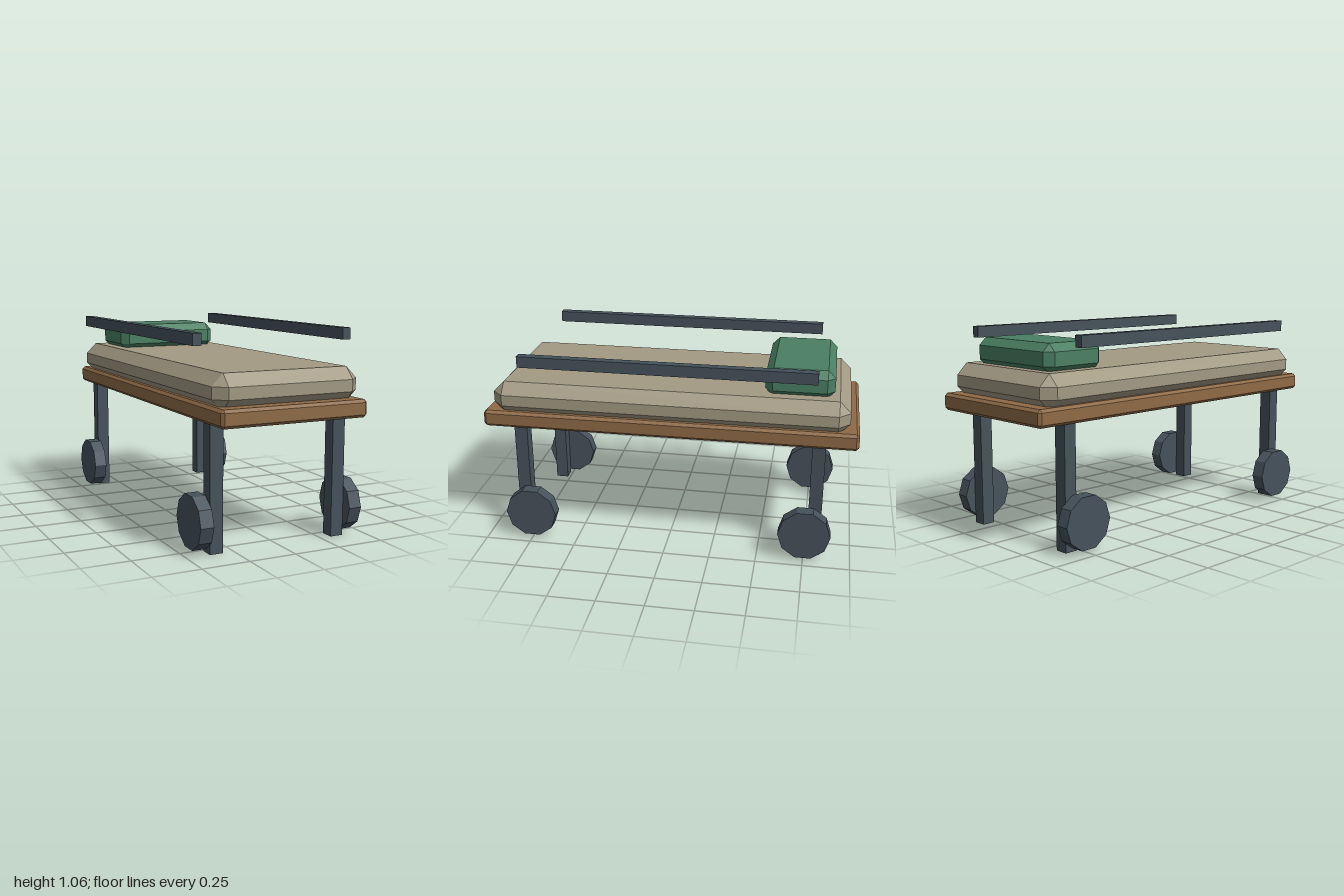
import * as THREE from 'three';
import { ConvexGeometry } from 'three/addons/geometries/ConvexGeometry.js';

const material = (color) => new THREE.MeshStandardMaterial({ color, flatShading: true });

// Box with every edge and corner cut by one flat bevel
function bevelledBox(w, h, d, b) {
  const points = [];
  for (const sx of [-1, 1]) for (const sy of [-1, 1]) for (const sz of [-1, 1]) {
    const [x, y, z] = [w / 2, h / 2, d / 2];
    points.push(
      new THREE.Vector3(sx * x, sy * (y - b), sz * (z - b)),
      new THREE.Vector3(sx * (x - b), sy * y, sz * (z - b)),
      new THREE.Vector3(sx * (x - b), sy * (y - b), sz * z));
  }
  return new ConvexGeometry(points);
}

export function createModel() {
  const group = new THREE.Group();
  const wood = material(0x8f6b47);
  const linen = material(0xa39a84);
  const green = material(0x4a7f62);
  const metal = material(0x45525b);

  const add = (name, geometry, mat, x, y, z) => {
    const mesh = new THREE.Mesh(geometry, mat);
    mesh.name = name;
    mesh.position.set(x, y, z);
    group.add(mesh);
  };

  // Bed: deck, mattress sunk slightly into it, and pillow at the back
  add('deck', bevelledBox(0.8, 0.09, 2, 0.015), wood, 0, 0.682, 0);
  add('mattress', bevelledBox(0.8, 0.18, 1.9, 0.06), linen, 0, 0.792, 0);
  add('pillow', bevelledBox(0.6, 0.152, 0.36, 0.04), green, 0, 0.94, -0.682);

  // Ten-sided wheel with its axle along x and a flat side on top
  const wheel = new THREE.CylinderGeometry(0.14, 0.14, 0.07, 10);
  wheel.rotateZ(Math.PI / 2);
  const leg = new THREE.BoxGeometry(0.07, 0.65, 0.07);
  const rail = new THREE.BoxGeometry(0.045, 0.06, 1.55);

  for (const [side, sx] of [['left', 1], ['right', -1]]) {
    add(side + 'Rail', rail, metal, sx * 0.418, 1.031, 0);
    for (const [end, sz] of [['Front', 1], ['Back', -1]]) {
      add(side + end + 'Leg', leg, metal, sx * 0.344, 0.325, sz * 0.8);
      add(side + end + 'Wheel', wheel, metal, sx * 0.418, 0.152, sz * 0.75);
    }
  }
  return group;
}
